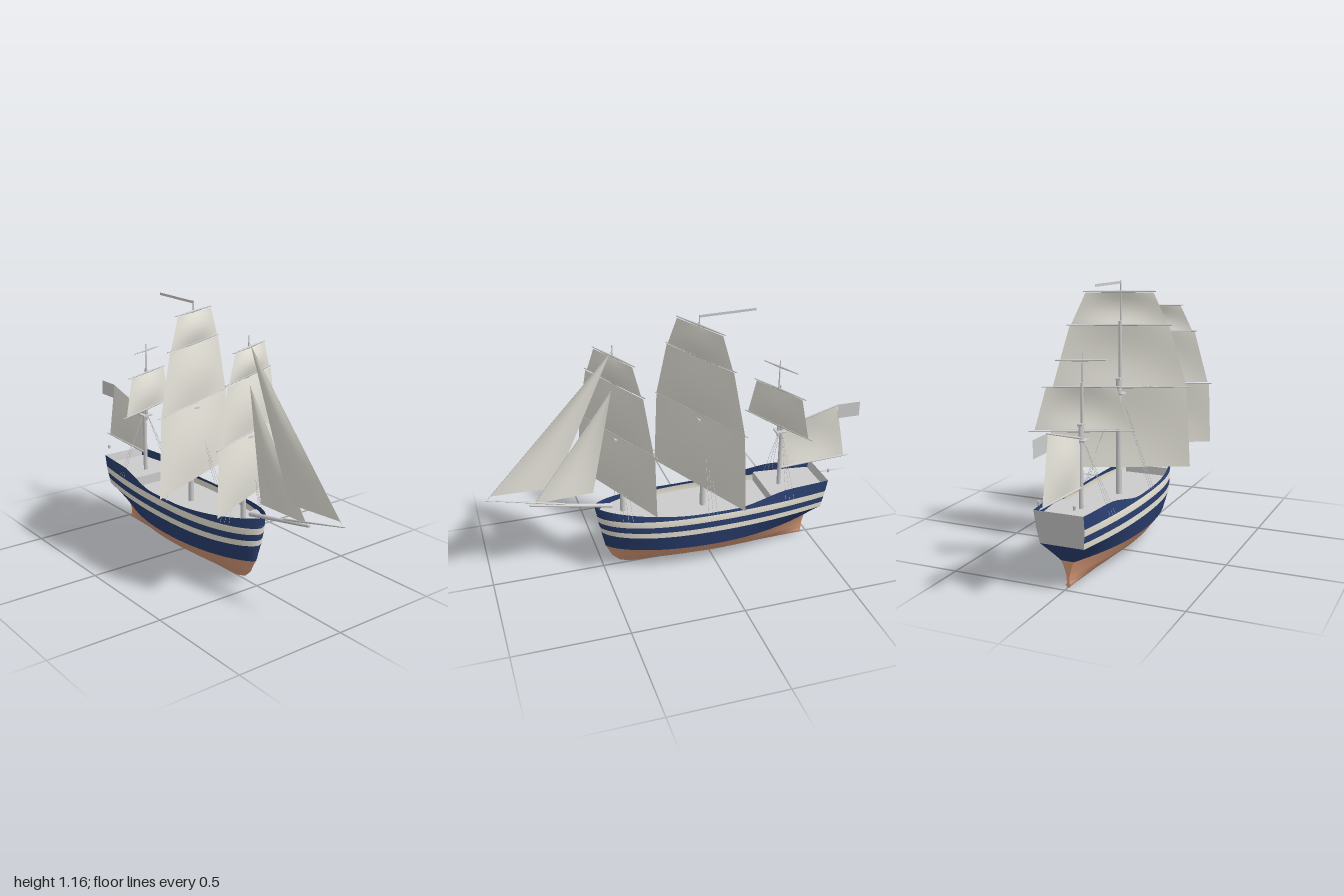
import * as THREE from 'three';

const V = (x, y, z) => new THREE.Vector3(x, y, z);
const lerp = THREE.MathUtils.lerp;
const mat = (color, side = THREE.DoubleSide) => new THREE.MeshStandardMaterial({ color, side });
const GREY = mat(0xcccccc), WOOD = mat(0xcccccc, THREE.FrontSide), SAIL = mat(0xe6e4da);
const BLUE = mat(0x2a3f70), CREAM = mat(0xe6e1d2), COPPER = mat(0xd89a7a);

function add(parent, name, geometry, material) {
  const m = new THREE.Mesh(geometry, material);
  m.name = name;
  parent.add(m);
  return m;
}

// Smooth grid surface from a rule f(u, v) -> Vector3
function sheet(nu, nv, f) {
  const pos = [], idx = [];
  for (let j = 0; j <= nv; j++) for (let i = 0; i <= nu; i++) {
    pos.push(...f(i / nu, j / nv).toArray());
    if (i < nu && j < nv) {
      const a = j * (nu + 1) + i, b = a + nu + 1;
      idx.push(a, a + 1, b + 1, a, b + 1, b);
    }
  }
  const g = new THREE.BufferGeometry();
  g.setAttribute('position', new THREE.Float32BufferAttribute(pos, 3));
  g.setIndex(idx);
  g.computeVertexNormals();
  return g;
}

// Round spar between two points
function spar(parent, name, a, b, r1, r2, sides = 10) {
  const d = b.clone().sub(a);
  const m = add(parent, name, new THREE.CylinderGeometry(r2, r1, d.length(), sides), WOOD);
  m.position.copy(a).add(b).multiplyScalar(0.5);
  m.quaternion.setFromUnitVectors(V(0, 1, 0), d.normalize());
}

// Four-cornered sail with a belly: a, b along the head, c, d along the foot
function sail(parent, name, a, b, c, d, belly) {
  add(parent, name, sheet(10, 10, (u, v) => {
    const p = a.clone().lerp(b, u).lerp(d.clone().lerp(c, u), v);
    return p.addScaledVector(belly, Math.sin(Math.PI * u) * Math.sin(Math.PI * v));
  }), SAIL);
}

// Hull waterlines: height, stern x, bow x, half beam, stern fullness, bow exponents
const LINES = [
  [0, -0.47, 0.36, 0.003, 1, 2, 1],
  [0.015, -0.47, 0.42, 0.04, 0.12, 2, 0.9],
  [0.05, -0.47, 0.458, 0.09, 0.08, 2, 0.8],
  [0.11, -0.473, 0.488, 0.135, 0.2, 2.2, 0.7],
  [0.187, -0.52, 0.505, 0.152, 0.62, 2.5, 0.62],
  [0.26, -0.533, 0.52, 0.153, 0.68, 2.5, 0.6],
  [0.335, -0.546, 0.532, 0.136, 0.78, 2.5, 0.6],
];
function lineAt(y) {
  let i = 0;
  while (i < LINES.length - 2 && y > LINES[i + 1][0]) i++;
  const f = (y - LINES[i][0]) / (LINES[i + 1][0] - LINES[i][0]);
  return LINES[i].map((a, k) => lerp(a, LINES[i + 1][k], f));
}
function hullPoint(y, t) {
  const [, xs, xb, beam, s, n, m] = lineAt(y);
  const w = Math.min(1, Math.abs(2 * t - 1));
  const p = t < 0.5 ? 1 - (1 - s) * w * w : Math.pow(Math.max(0, 1 - Math.pow(w, n)), m);
  return V(lerp(xs, xb, t), y, beam * p);
}
function halfBeam(x, y) {
  const [, xs, xb] = lineAt(y);
  return hullPoint(y, THREE.MathUtils.clamp((x - xs) / (xb - xs), 0, 1)).z;
}
// Height of the rail along the ship
const sheer = (x) => 0.285
  + 0.043 * THREE.MathUtils.smoothstep(-x, 0.08, 0.36)
  + 0.037 * Math.pow(Math.max(0, (x - 0.1) / 0.43), 1.5);

function buildHull(root) {
  const hull = new THREE.Group();
  hull.name = 'hull';
  root.add(hull);
  const band = (name, y0, y1, material, rows, sternMat = material) => {
    const yAt = (v, t) => lerp(y0, y1 ?? sheer(lerp(-0.54, 0.53, t)), v);
    add(hull, name, sheet(72, rows, (u, v) => {
      const w = 2 * u - 1, t = 1 - Math.pow(Math.abs(w), 1.5);
      const p = hullPoint(yAt(v, t), t);
      p.z *= Math.sign(w);
      return p;
    }), material);
    add(hull, name + 'Stern', sheet(2, rows, (u, v) => {
      const p = hullPoint(yAt(v, 0), 0);
      p.z *= 2 * u - 1;
      return p;
    }), sternMat);
  };
  band('copperBottom', 0, 0.11, COPPER, 12);
  band('lowerSide', 0.11, 0.187, BLUE, 6);
  band('lowerStripe', 0.187, 0.213, CREAM, 2, GREY);
  band('middleSide', 0.213, 0.242, BLUE, 2, GREY);
  band('upperStripe', 0.242, 0.272, CREAM, 2, GREY);
  band('bulwark', 0.272, null, BLUE, 3, GREY);

  // Decks and the bulkheads at their steps
  const deck = (name, x0, x1, y) => add(hull, name, sheet(24, 2, (u, v) => {
    const x = lerp(x0, x1, u);
    return V(x, y, (1 - 2 * v) * halfBeam(x, y) * 0.995);
  }), GREY);
  deck('quarterDeck', -0.535, -0.27, 0.288);
  deck('mainDeck', -0.27, 0.36, 0.243);
  deck('foreDeck', 0.36, 0.524, 0.28);
  for (const [x, top] of [[-0.27, 0.288], [0.36, 0.28]]) {
    add(hull, 'bulkhead', sheet(2, 1, (u, v) => {
      const y = lerp(0.243, top, v);
      return V(x, y, (2 * u - 1) * halfBeam(x, y) * 0.995);
    }), GREY);
  }
  // Stern lanterns
  for (const z of [-0.075, 0.075]) {
    add(hull, 'lantern', new THREE.CylinderGeometry(0.007, 0.005, 0.016, 8), WOOD).position.set(-0.557, 0.362, z);
  }
}

// Mast with yards [height, half length] and sails [top, half top, bottom, half bottom]
function buildMast(root, name, o) {
  const g = new THREE.Group();
  g.name = name;
  g.position.x = o.x;
  root.add(g);
  const r = o.r, span = o.top - o.head;
  spar(g, 'lowerMast', V(-0.01, 0.23, 0), V(-0.01, o.head + 0.03, 0), r, r * 0.85);
  spar(g, 'topMast', V(0.006, o.head - 0.06, 0), V(0.006, o.head + span * 0.62, 0), r * 0.65, r * 0.5);
  spar(g, 'topgallantMast', V(0.013, o.head + span * 0.5, 0), V(0.013, o.top, 0), r * 0.4, r * 0.2);
  const cap = new THREE.BoxGeometry(0.036, 0.008, 0.022);
  add(g, 'mastCap', cap, WOOD).position.set(-0.002, o.head + 0.028, 0);
  add(g, 'topPlatform', cap.clone().scale(1.3, 0.8, 2.2), WOOD).position.set(-0.002, o.head - 0.035, 0);

  // Braced yards and square sails
  const rig = new THREE.Group();
  rig.name = 'squareRig';
  rig.rotation.y = 0.42;
  g.add(rig);
  for (const [y, half] of o.yards) for (const s of [-1, 1]) {
    spar(rig, 'yard', V(0.012, y, 0), V(0.012, y, s * half), 0.005, 0.0022, 8);
  }
  for (const [y1, h1, y0, h0] of o.sails) {
    sail(rig, 'squareSail', V(0.016, y1, -h1), V(0.016, y1, h1), V(0.016, y0, h0), V(0.016, y0, -h0), V(0.014, 0, 0));
  }
  // Shrouds
  for (const s of [-1, 1]) for (const dx of [-0.03, -0.01, 0.01]) {
    const z = halfBeam(o.x + dx, 0.285) + 0.006;
    spar(g, 'shroud', V(dx, 0.28, s * z), V(-0.008, o.head - 0.03, s * 0.01), 0.0008, 0.0008, 4);
  }
}

export function createModel() {
  const root = new THREE.Group();
  root.name = 'sailingShip';
  buildHull(root);

  buildMast(root, 'foreMast', {
    x: 0.412, r: 0.012, head: 0.68, top: 1.07,
    yards: [[0.66, 0.275], [0.905, 0.205], [1.022, 0.142]],
    sails: [[0.66, 0.265, 0.38, 0.275], [0.9, 0.195, 0.665, 0.258], [1.018, 0.13, 0.908, 0.182]],
  });
  buildMast(root, 'mainMast', {
    x: 0.038, r: 0.013, head: 0.72, top: 1.16,
    yards: [[0.708, 0.298], [0.975, 0.222], [1.115, 0.152]],
    sails: [[0.708, 0.285, 0.355, 0.305], [0.972, 0.21, 0.712, 0.285], [1.11, 0.142, 0.978, 0.203]],
  });
  buildMast(root, 'mizzenMast', {
    x: -0.335, r: 0.01, head: 0.6, top: 0.91,
    yards: [[0.598, 0.208], [0.775, 0.155], [0.88, 0.1]],
    sails: [[0.772, 0.138, 0.603, 0.185]],
  });

  // Bowsprit and headsails
  spar(root, 'bowsprit', V(0.45, 0.313, 0), V(0.81, 0.378, 0), 0.01, 0.006);
  spar(root, 'jibBoom', V(0.66, 0.358, 0), V(1.0, 0.437, 0), 0.005, 0.002);
  const jib = (name, head, tack, clew) => sail(root, name, head, head, clew, tack, V(0, 0, 0.016));
  jib('outerJib', V(0.435, 1.035, 0), V(0.975, 0.452, 0), V(0.7, 0.44, 0.012));
  jib('innerJib', V(0.435, 0.87, 0), V(0.79, 0.382, 0), V(0.53, 0.385, 0.012));
  spar(root, 'outerStay', V(0.425, 1.045, 0), V(0.985, 0.44, 0), 0.001, 0.001, 4);
  spar(root, 'innerStay', V(0.425, 0.88, 0), V(0.795, 0.376, 0), 0.001, 0.001, 4);

  // Fore-and-aft sail on the mizzen mast
  spar(root, 'gaff', V(-0.345, 0.575, 0), V(-0.625, 0.656, 0), 0.005, 0.003);
  spar(root, 'boom', V(-0.345, 0.373, 0), V(-0.69, 0.386, 0), 0.006, 0.003);
  sail(root, 'spanker', V(-0.615, 0.651, 0), V(-0.352, 0.575, 0), V(-0.352, 0.378, 0), V(-0.668, 0.388, 0), V(0, 0, 0.014));

  // Flag and masthead pennant
  add(root, 'flag', new THREE.PlaneGeometry(0.11, 0.07), GREY).position.set(-0.675, 0.62, 0);
  add(root, 'pennant', sheet(8, 1, (u, v) => V(lerp(0.05, -0.2, u), 1.153 + 0.005 * u + (v - 0.5) * 0.011, 0)), GREY);
  return root;
}
